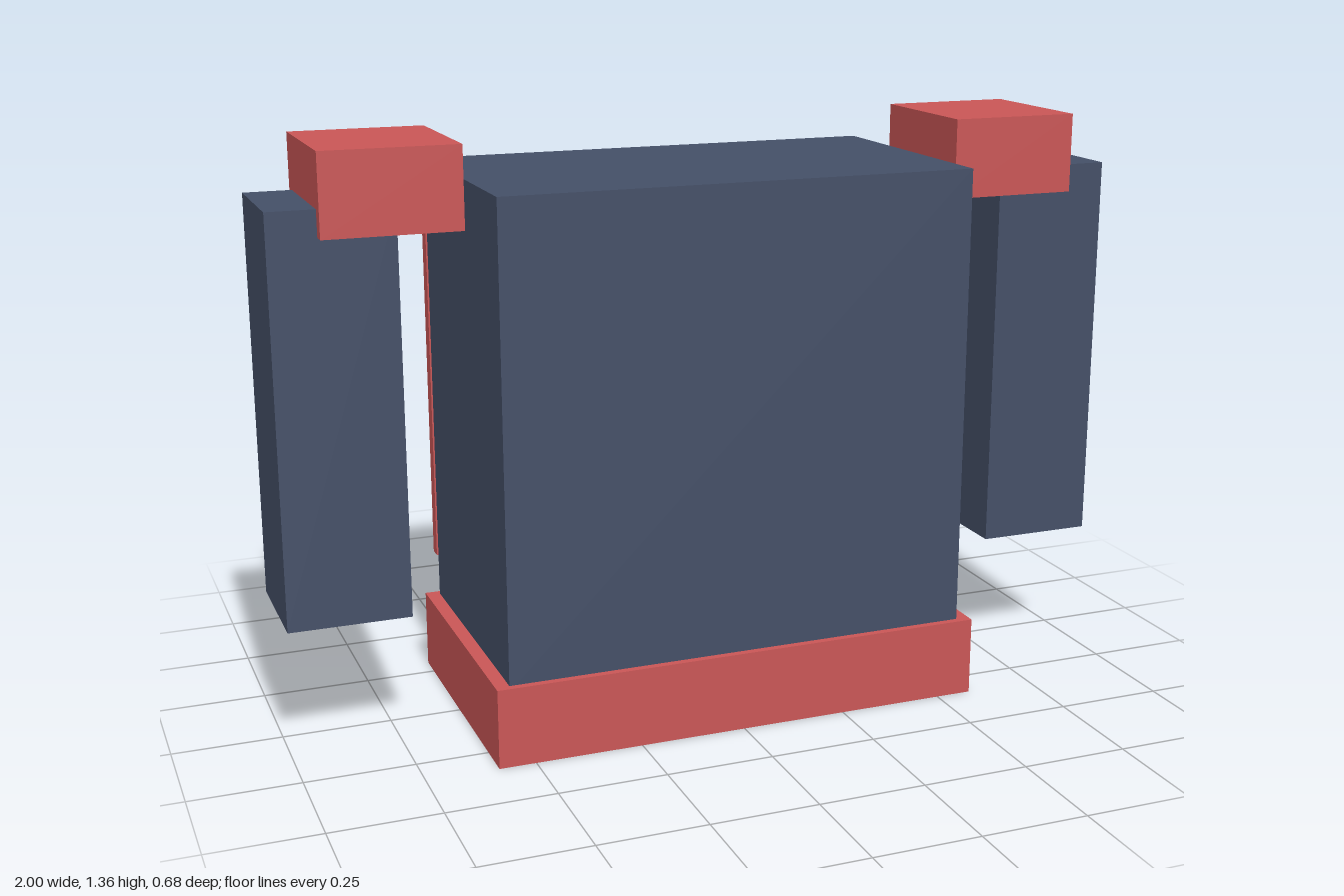
import * as THREE from 'three';

export function createModel() {
  const group = new THREE.Group();
  const navy = new THREE.MeshStandardMaterial({ color: 0x444f67 });
  navy.name = 'navy cloth';
  const red = new THREE.MeshStandardMaterial({ color: 0xc95656 });
  red.name = 'red trim';

  // Box given by its lower and upper corners
  function block(name, material, [x0, y0, z0], [x1, y1, z1]) {
    const mesh = new THREE.Mesh(new THREE.BoxGeometry(x1 - x0, y1 - y0, z1 - z0), material);
    mesh.position.set((x0 + x1) / 2, (y0 + y1) / 2, (z0 + z1) / 2);
    mesh.name = name;
    group.add(mesh);
    return mesh;
  }

  // Torso, belt and the panel floating just behind the back
  block('torso', navy, [-0.553, 0.17, -0.292], [0.553, 1.263, 0.323]);
  block('belt', red, [-0.585, 0, -0.308], [0.585, 0.185, 0.34]);
  block('backPanel', red, [-0.553, 0.28, -0.34], [0.553, 1.14, -0.308]);

  // Arms and shoulder pads, mirrored
  for (const [side, s] of [['left', 1], ['right', -1]]) {
    const arm = block(side + 'Arm', navy, [0.723, 0.31, -0.123], [1, 1.232, 0.154]);
    const pad = block(side + 'ShoulderPad', red, [0.585, 1.172, -0.154], [0.892, 1.356, 0.185]);
    arm.position.x *= s;
    pad.position.x *= s;
  }

  return group;
}
